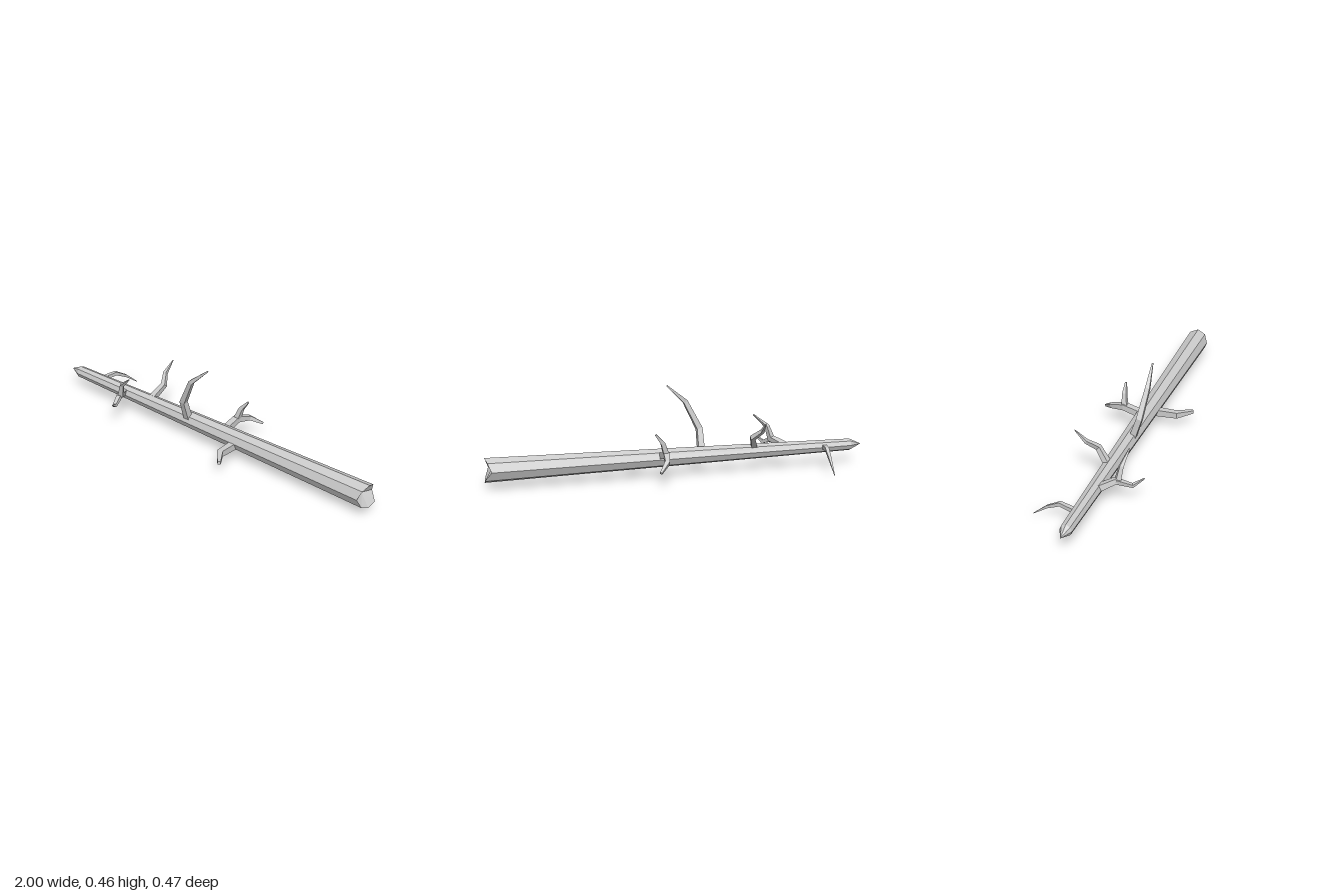
import * as THREE from 'three';

const material = new THREE.MeshStandardMaterial({ color: 0xcccccc, flatShading: true });

// Skin a list of rings (arrays of Vector3, counter-clockwise about the path) and close both ends.
function loft(name, rings, startPoint, endPoint) {
  const n = rings[0].length;
  const points = [...rings.flat(), startPoint, endPoint];
  const start = points.length - 2, end = points.length - 1;
  const last = (rings.length - 1) * n;
  const index = [];
  for (let i = 0; i < n; i++) {
    const j = (i + 1) % n;
    for (let r = 0; r < last; r += n) {
      index.push(r + i, r + j, r + n + j, r + i, r + n + j, r + n + i);
    }
    index.push(start, j, i, end, last + i, last + j);
  }
  const geometry = new THREE.BufferGeometry().setFromPoints(points);
  geometry.setIndex(index);
  geometry.computeVertexNormals();
  const mesh = new THREE.Mesh(geometry, material);
  mesh.name = name;
  return mesh;
}

// Eight-sided log along x, pointed at one end and splintered at the other.
function makeTrunk() {
  const splinter = [0.995, 0.985, 0.968, 0.985, 0.995, 1.0, 0.968, 0.985];
  const ring = (xAt, y, z, r) => splinter.map((_, i) => {
    const a = (i / 8) * Math.PI * 2;
    return new THREE.Vector3(xAt(i), y + r * Math.cos(a), z + r * Math.sin(a));
  });
  return loft('trunk', [
    ring(() => -0.935, 0.1, 0.015, 0.031),
    ring((i) => splinter[i], 0.096, 0.019, 0.0625),
  ], new THREE.Vector3(-1, 0.1, 0.015), new THREE.Vector3(0.955, 0.108, 0.025));
}

// Four-sided crooked twig; each station is [x, y, z, width].
function makeTwig(name, stations) {
  const path = stations.map(([x, y, z]) => new THREE.Vector3(x, y, z));
  const side = new THREE.Vector3(1, 0, 0);
  const rings = path.map((p, k) => {
    const before = path[Math.max(k - 1, 0)], after = path[Math.min(k + 1, path.length - 1)];
    const inDir = p.clone().sub(before).normalize();
    const outDir = after.clone().sub(p).normalize();
    const tangent = inDir.add(outDir).normalize();
    side.addScaledVector(tangent, -side.dot(tangent)).normalize();
    const up = tangent.clone().cross(side);
    const r = stations[k][3] * 0.68;
    return [0, 1, 2, 3].map((i) => {
      const a = (i + 0.5) * Math.PI / 2;
      return p.clone().addScaledVector(side, r * Math.cos(a)).addScaledVector(up, r * Math.sin(a));
    });
  });
  return loft(name, rings, path[0], path[path.length - 1]);
}

export function createModel() {
  const group = new THREE.Group();
  group.name = 'deadBranch';
  group.add(makeTrunk());

  const twigs = {
    tallTwig: [[-0.12, 0.11, 0.035, 0.034], [-0.12, 0.225, 0.071, 0.031],
      [-0.05, 0.367, 0.088, 0.024], [0.05, 0.456, 0.078, 0.007]],
    upperBackTwig: [[-0.4, 0.12, 0.01, 0.032], [-0.37, 0.185, -0.05, 0.026],
      [-0.403, 0.228, -0.1, 0.019], [-0.402, 0.28, -0.16, 0.003]],
    droopingTwig: [[-0.785, 0.1, 0, 0.024], [-0.767, 0.108, -0.085, 0.02],
      [-0.757, 0.068, -0.155, 0.014], [-0.75, 0.004, -0.233, 0.003]],
    // Forked twig at the front
    frontForkUpper: [[-0.585, 0.108, 0.035, 0.034], [-0.53, 0.138, 0.113, 0.03],
      [-0.51, 0.203, 0.122, 0.02], [-0.44, 0.265, 0.138, 0.005]],
    frontForkLower: [[-0.54, 0.135, 0.105, 0.026], [-0.51, 0.106, 0.18, 0.018],
      [-0.477, 0.137, 0.228, 0.005]],
    // Forked twig at the back
    backForkLower: [[0.1, 0.115, -0.01, 0.036], [0.1, 0.137, -0.095, 0.034],
      [0.118, 0.117, -0.17, 0.024], [0.165, 0.08, -0.222, 0.012]],
    backForkUpper: [[0.1, 0.135, -0.09, 0.03], [0.122, 0.2, -0.1, 0.022],
      [0.16, 0.247, -0.106, 0.009]],
    lowerFrontTwig: [[0.195, 0.08, 0.03, 0.038], [0.2, 0.083, 0.16, 0.033],
      [0.257, 0.084, 0.232, 0.017]],
  };
  for (const [name, stations] of Object.entries(twigs)) group.add(makeTwig(name, stations));
  return group;
}
